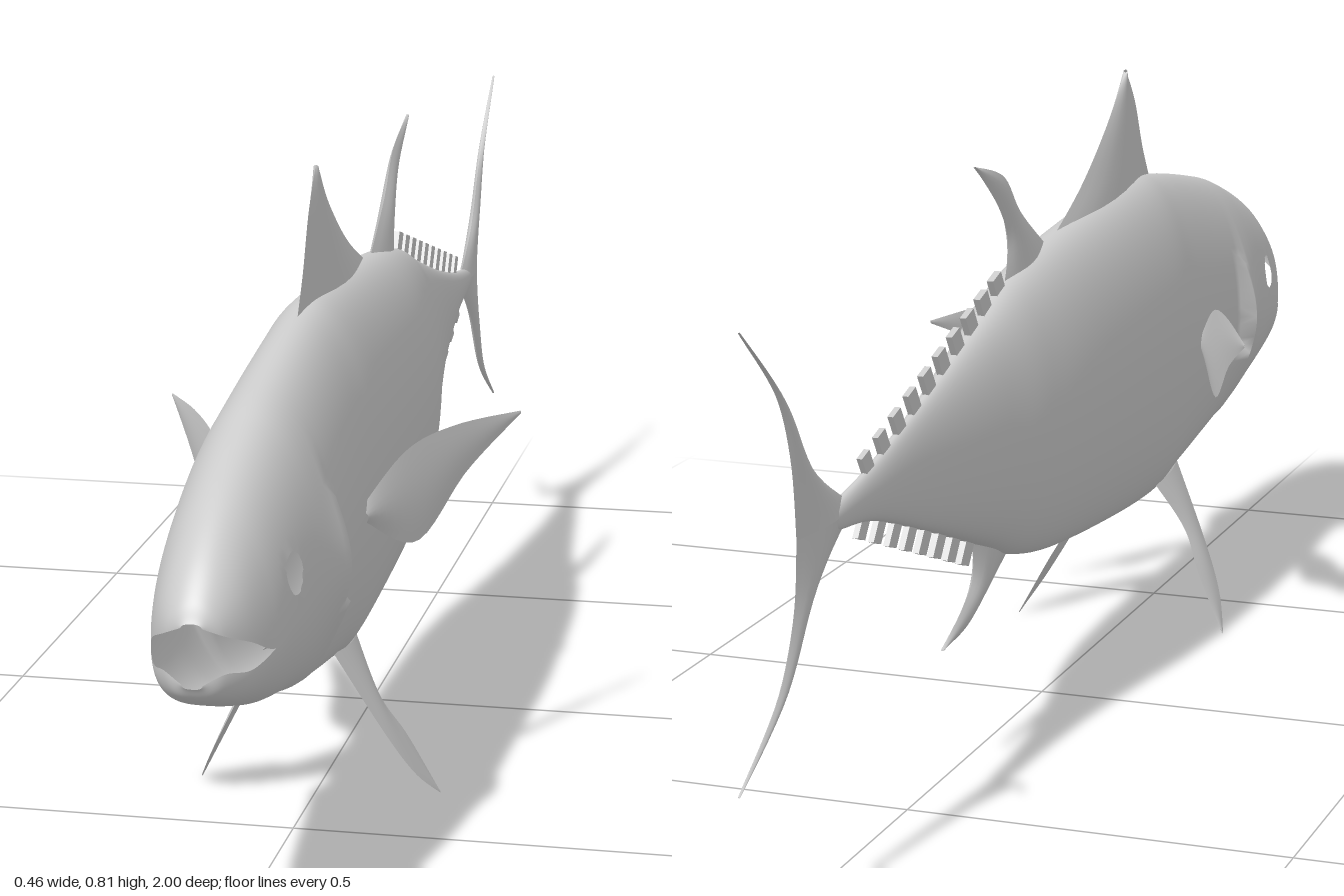
import * as THREE from 'three';
import { mergeVertices } from 'three/addons/utils/BufferGeometryUtils.js';

const material = new THREE.MeshStandardMaterial({ color: 0xcccccc, side: THREE.DoubleSide });
const V2 = ([a, b]) => new THREE.Vector2(a, b);

// Surface sheet from a function (row, column in 0..1) -> [x, y, z]
function sheet(rows, cols, fn, flip = false) {
  const pos = [], idx = [];
  for (let i = 0; i <= rows; i++)
    for (let j = 0; j <= cols; j++) pos.push(...fn(i / rows, j / cols));
  for (let i = 0; i < rows; i++)
    for (let j = 0; j < cols; j++) {
      const a = i * (cols + 1) + j, b = a + 1, c = a + cols + 1, d = c + 1;
      idx.push(...(flip ? [a, c, b, b, c, d] : [a, b, c, b, d, c]));
    }
  return { pos, idx };
}

function toMesh(name, sheets, merge = false) {
  const pos = [], idx = [];
  for (const s of sheets) {
    const base = pos.length / 3;
    for (const p of s.pos) pos.push(p);
    for (const k of s.idx) idx.push(k + base);
  }
  let geo = new THREE.BufferGeometry();
  geo.setAttribute('position', new THREE.Float32BufferAttribute(pos, 3));
  geo.setIndex(idx);
  if (merge) geo = mergeVertices(geo, 1e-5);
  geo.computeVertexNormals();
  const mesh = new THREE.Mesh(geo, material);
  mesh.name = name;
  return mesh;
}

// Body stations: z, top, bottom, half width, upper lip/side line, lower lip/side line
const stations = [
  [1.0, 0.425, 0.35, 0.012, 0.42, 0.355],
  [0.985, 0.45, 0.332, 0.035, 0.408, 0.365],
  [0.95, 0.485, 0.315, 0.056, 0.392, 0.36],
  [0.9, 0.52, 0.298, 0.072, 0.37, 0.37],
  [0.84, 0.55, 0.28, 0.08, 0.38, 0.38],
  [0.75, 0.583, 0.26, 0.087, 0.39, 0.39],
  [0.66, 0.608, 0.238, 0.088, 0.40, 0.40],
  [0.46, 0.645, 0.202, 0.086, 0.41, 0.41],
  [0.33, 0.652, 0.187, 0.088, 0.42, 0.42],
  [0.02, 0.63, 0.21, 0.083, 0.42, 0.42],
  [-0.14, 0.605, 0.235, 0.069, 0.42, 0.42],
  [-0.26, 0.567, 0.28, 0.05, 0.425, 0.425],
  [-0.45, 0.51, 0.35, 0.025, 0.43, 0.43],
  [-0.61, 0.47, 0.403, 0.014, 0.435, 0.435],
  [-0.72, 0.452, 0.42, 0.01, 0.436, 0.436],
  [-0.77, 0.442, 0.43, 0.003, 0.436, 0.436],
];
const curveOf = (f) => new THREE.CatmullRomCurve3(stations.map((s) => new THREE.Vector3(...f(s))), false, 'catmullrom');
const outline = curveOf((s) => [s[0], s[1], s[2]]);
const girth = curveOf((s) => [s[3], s[4], s[5]]);

// Upper (side 1) or lower (side -1) half of the body; the halves part at the mouth
function bodyHalf(side) {
  const rows = (stations.length - 1) * 10;
  return sheet(rows, 48, (u, v) => {
    const { x: z, y: top, z: bottom } = outline.getPoint(u);
    const { x: w, y: up, z: low } = girth.getPoint(u);
    const open = u * (stations.length - 1) < 3 - 1e-6;
    const mid = open ? (side > 0 ? up : low) : (up + low) / 2;
    const c = Math.cos(v * Math.PI), s = Math.sin(v * Math.PI);
    const y = mid + s * ((side > 0 ? top : bottom) - mid);
    let x = w * Math.sign(c) * Math.pow(Math.abs(c) < 1e-9 ? 0 : Math.abs(c), side > 0 ? 1 : 2 / 3);
    // Gill cover: swells backward, then drops to the flank
    const edge = 0.645 + 0.12 * (y - 0.36);
    if (z > edge && z < edge + 0.14)
      x += Math.sign(x) * 0.024 * ((edge + 0.14 - z) / 0.14) ** 2 * Math.exp(-(((y - 0.39) / 0.085) ** 2)) * Math.min(1, Math.abs(c) * 3);
    return [x, y, z];
  }, side < 0);
}

// Round open eye sockets: snap nearby vertices to a circle, drop the faces inside
function cutEyes(half) {
  const r = 0.025, cy = 0.435, cz = 0.825, { pos } = half;
  const dist = (k) => Math.hypot(pos[3 * k + 1] - cy, pos[3 * k + 2] - cz);
  for (let k = 0; k < pos.length / 3; k++) {
    const d = dist(k);
    if (d > 0.6 * r && d < 1.25 * r) {
      pos[3 * k + 1] = cy + ((pos[3 * k + 1] - cy) * r) / d;
      pos[3 * k + 2] = cz + ((pos[3 * k + 2] - cz) * r) / d;
    }
  }
  const kept = [];
  for (let t = 0; t < half.idx.length; t += 3) {
    const tri = half.idx.slice(t, t + 3);
    if (tri.some((k) => dist(k) > r + 1e-5)) kept.push(...tri);
  }
  half.idx = kept;
  return half;
}

// Lens-section fin between a leading and a trailing edge, points as [z, y];
// offset(z, y) bends it sideways
function fin(name, lead, trail, thick, offset = () => 0) {
  const a = new THREE.SplineCurve(lead.map(V2)), b = new THREE.SplineCurve(trail.map(V2));
  const face = (side) => sheet(20, 8, (u, v) => {
    const p = a.getPoint(u).lerp(b.getPoint(u), v);
    const t = thick * (1 - 0.85 * u) * Math.sin(Math.PI * v);
    return [offset(p.x, p.y) + side * t, p.y, p.x];
  }, side < 0);
  return toMesh(name, [face(1), face(-1)]);
}

// Row of small slanted finlets from one [z, y] to another
function finlets(name, count, from, to, dir) {
  const group = new THREE.Group();
  group.name = name;
  const geo = new THREE.BoxGeometry(0.009, 0.042, 0.03);
  const p = geo.attributes.position;
  for (let i = 0; i < p.count; i++) if (p.getY(i) * dir > 0) p.setZ(i, p.getZ(i) - 0.014);
  geo.computeVertexNormals();
  const slope = Math.atan2(to[1] - from[1], from[0] - to[0]);
  for (let i = 0; i < count; i++) {
    const t = i / (count - 1), m = new THREE.Mesh(geo, material);
    m.name = 'finlet';
    m.position.set(0, THREE.MathUtils.lerp(from[1], to[1], t), THREE.MathUtils.lerp(from[0], to[0], t));
    m.rotation.x = slope;
    m.scale.setScalar(1 - 0.2 * t);
    group.add(m);
  }
  return group;
}

export function createModel() {
  const model = new THREE.Group();
  model.name = 'fish';
  model.add(toMesh('body', [cutEyes(bodyHalf(1)), bodyHalf(-1)], true));

  // Fins on the centre line
  model.add(fin('firstDorsalFin',
    [[0.47, 0.63], [0.43, 0.69], [0.395, 0.76], [0.352, 0.812]],
    [[0.0, 0.61], [0.15, 0.672], [0.26, 0.738], [0.35, 0.808]], 0.02));
  model.add(fin('secondDorsalFin',
    [[0.03, 0.615], [-0.08, 0.683], [-0.145, 0.742], [-0.25, 0.772]],
    [[-0.15, 0.59], [-0.13, 0.65], [-0.165, 0.705], [-0.25, 0.77]], 0.014));
  model.add(fin('analFin',
    [[-0.12, 0.245], [-0.22, 0.202], [-0.29, 0.177], [-0.375, 0.17]],
    [[-0.27, 0.3], [-0.265, 0.24], [-0.3, 0.208], [-0.375, 0.172]], 0.014));
  model.add(fin('upperTailLobe',
    [[-0.66, 0.437], [-0.775, 0.505], [-0.85, 0.6], [-0.975, 0.71]],
    [[-0.83, 0.437], [-0.843, 0.535], [-0.885, 0.625], [-0.975, 0.708]], 0.01));
  model.add(fin('lowerTailLobe',
    [[-0.66, 0.437], [-0.775, 0.365], [-0.865, 0.262], [-1.0, 0.185]],
    [[-0.83, 0.437], [-0.842, 0.35], [-0.89, 0.265], [-1.0, 0.187]], 0.01));

  // Paired fins
  for (const [label, s] of [['left', 1], ['right', -1]]) {
    model.add(fin(label + 'PectoralFin',
      [[0.47, 0.41], [0.39, 0.465], [0.3, 0.477], [0.18, 0.468]],
      [[0.46, 0.39], [0.37, 0.343], [0.28, 0.412], [0.18, 0.464]], 0.006,
      (z) => s * (0.085 + (0.46 - z) * 0.52)));
    model.add(fin(label + 'PelvicFin',
      [[0.465, 0.22], [0.43, 0.11], [0.395, 0.045], [0.34, 0.0]],
      [[0.35, 0.21], [0.378, 0.14], [0.352, 0.08], [0.338, 0.003]], 0.006,
      (z, y) => s * (0.055 + (0.2 - y) * 0.51)));
  }

  // Finlets above and below the tail stem
  model.add(finlets('upperFinlets', 10, [-0.165, 0.602], [-0.615, 0.477], 1));
  model.add(finlets('lowerFinlets', 8, [-0.285, 0.28], [-0.63, 0.402], -1));
  return model;
}
